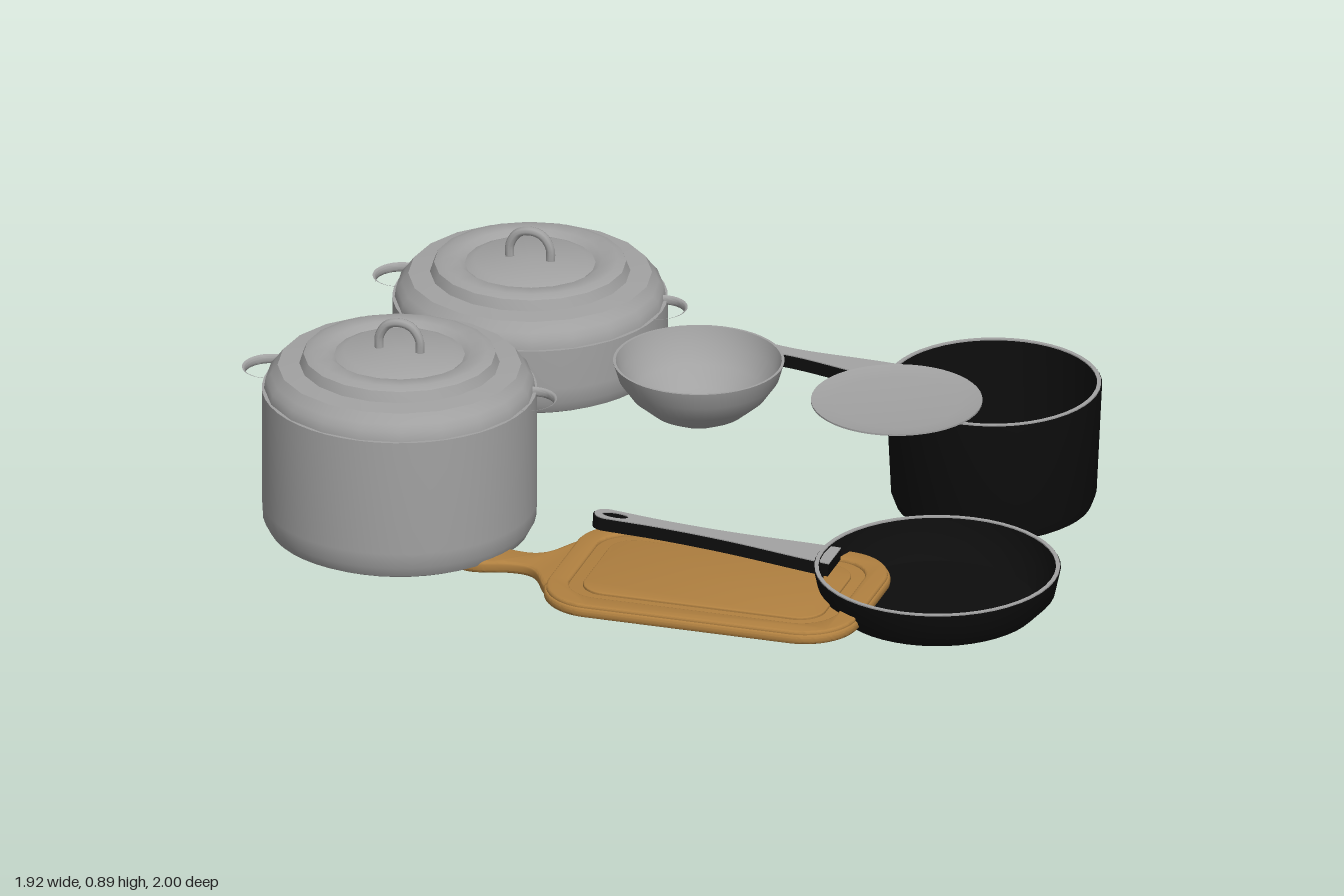
import * as THREE from 'three';
import { toCreasedNormals } from 'three/addons/utils/BufferGeometryUtils.js';

const mat = (name, color) => {
  const m = new THREE.MeshStandardMaterial({ color });
  m.name = name;
  return m;
};

export function createModel() {
  const grey = mat('enamelGrey', 0xa2a2a2);
  const black = mat('ironBlack', 0x0d0d0d);
  const wood = mat('wood', 0xb08040);
  const root = new THREE.Group();
  root.name = 'cookware';

  const group = (name, x, y, z) => {
    const g = new THREE.Group();
    g.name = name;
    g.position.set(x, y, z);
    root.add(g);
    return g;
  };
  const add = (parent, name, geo, material) => {
    const m = new THREE.Mesh(geo, material);
    m.name = name;
    parent.add(m);
    return m;
  };
  // Turned part from [radius, height] pairs, outside upwards
  const turn = (pts, segments = 48, crease = 0.6) => toCreasedNormals(
    new THREE.LatheGeometry(pts.map(p => new THREE.Vector2(...p)), segments), crease);
  // Horizontal slab whose underside is at y = 0
  const slab = (shape, height, bevel = 0) => {
    const g = new THREE.ExtrudeGeometry(shape, {
      depth: height - 2 * bevel, bevelEnabled: bevel > 0, bevelThickness: bevel,
      bevelSize: bevel, bevelOffset: -bevel, bevelSegments: 3, curveSegments: 16,
    });
    g.rotateX(-Math.PI / 2).translate(0, bevel, 0);
    return toCreasedNormals(g, 0.7);
  };
  const ellipse = (x, rx, ry) => new THREE.Path().absellipse(x, 0, rx, ry, 0, Math.PI * 2);

  // Lidded pots with two flat loop handles
  function pot(name, x, y, z, height) {
    const g = group(name, x, y, z);
    add(g, 'body', turn([[0, 0], [0.27, 0], [0.29, 0.01], [0.303, 0.035], [0.305, 0.07],
      [0.305, height], [0, height]]), grey);
    const lid = add(g, 'lid', turn([[0.3, 0], [0.297, 0.022], [0.285, 0.035], [0.27, 0.056],
      [0.222, 0.06], [0.213, 0.083], [0.195, 0.09], [0.16, 0.09], [0.145, 0.08],
      [0.125, 0.088], [0, 0.093]], 20, 0.7), grey);
    lid.position.y = height;
    const arch = new THREE.CatmullRomCurve3([[-0.047, -0.01], [-0.046, 0.03], [-0.028, 0.058],
      [0, 0.066], [0.028, 0.058], [0.046, 0.03], [0.047, -0.01]]
      .map(([a, b]) => new THREE.Vector3(a, b, 0)));
    const knob = add(g, 'lidHandle', new THREE.TubeGeometry(arch, 24, 0.0105, 8), grey);
    knob.position.y = height + 0.09;
    for (const side of [-1, 1]) {
      const loop = new THREE.Shape().absellipse(side * 0.302, 0.108, 0.115, 0, Math.PI * 2);
      loop.holes.push(ellipse(side * 0.3, 0.055, 0.06));
      const h = add(g, side > 0 ? 'leftHandle' : 'rightHandle', slab(loop, 0.022, 0.007), grey);
      h.position.y = height - 0.011;
    }
  }
  pot('tallPot', -0.575, 0.08, 0.12, 0.34);
  pot('lowPot', -0.525, 0.135, -0.695, 0.165);

  // Tapered pan handle with a hanging hole, running towards -x from the origin
  function handleShape(length, inset) {
    const s = new THREE.Shape();
    const e = -length + inset;
    const w = 0.027 - inset;
    s.moveTo(0.03, -0.048 + inset);
    s.bezierCurveTo(-0.1, -0.042 + inset, -0.18, -0.018 + inset, e + 0.13, -0.022 + inset);
    s.lineTo(e + 0.03, -w);
    s.bezierCurveTo(e - 0.01, -w, e - 0.01, w, e + 0.03, w);
    s.lineTo(e + 0.13, 0.022 - inset);
    s.bezierCurveTo(-0.18, 0.018 - inset, -0.1, 0.042 - inset, 0.03, 0.048 - inset);
    s.closePath();
    s.holes.push(ellipse(-length + 0.05, 0.027 + inset, 0.01 + inset));
    return s;
  }
  function pan(name, x, y, z, profile, rim, length, handleY, tilt) {
    const g = group(name, x, y, z);
    add(g, 'body', turn(profile), black);
    const [r, top] = rim;
    add(g, 'rim', turn([[r - 0.002, top], [r - 0.002, top + 0.003], [r - 0.011, top + 0.003],
      [r - 0.011, top]]), grey);
    const handle = new THREE.Group();
    handle.name = 'handle';
    handle.position.set(-r + 0.005, handleY, 0);
    handle.rotation.z = -tilt;
    g.add(handle);
    add(handle, 'grip', slab(handleShape(length, 0), 0.028), black);
    const face = add(handle, 'gripTop', slab(handleShape(length, 0.003), 0.003), grey);
    face.position.y = 0.0275;
  }
  pan('saucepan', 0.59, 0, -0.565, [[0, 0], [0.205, 0], [0.218, 0.008], [0.228, 0.035],
    [0.24, 0.292], [0.228, 0.292], [0.215, 0.035], [0.2, 0.02], [0, 0.02]],
  [0.24, 0.292], 0.39, 0.257, 0.075);
  pan('fryingPan', 0.67, 0.048, 0.115, [[0, 0], [0.2, 0], [0.225, 0.007], [0.262, 0.045],
    [0.274, 0.1], [0.264, 0.1], [0.252, 0.05], [0.218, 0.016], [0, 0.014]],
  [0.274, 0.1], 0.53, 0.066, 0.06);

  // Cutting board: base with handle, raised border and centre leave a groove
  const board = group('cuttingBoard', 0.1975, 0.08, 0.2375);
  const rounded = (Type, hx, hy, r) => {
    const s = new Type();
    s.moveTo(-hx + r, -hy);
    s.lineTo(hx - r, -hy).absarc(hx - r, -hy + r, r, -Math.PI / 2, 0);
    s.lineTo(hx, hy - r).absarc(hx - r, hy - r, r, 0, Math.PI / 2);
    s.lineTo(-hx + r, hy).absarc(-hx + r, hy - r, r, Math.PI / 2, Math.PI);
    s.lineTo(-hx, -hy + r).absarc(-hx + r, -hy + r, r, Math.PI, Math.PI * 1.5);
    return s;
  };
  add(board, 'base', slab(rounded(THREE.Shape, 0.3625, 0.2325, 0.125), 0.022, 0.007), wood);
  const border = rounded(THREE.Shape, 0.357, 0.227, 0.12);
  border.holes.push(rounded(THREE.Path, 0.31, 0.18, 0.085));
  add(board, 'border', slab(border, 0.016, 0.005), wood).position.y = 0.014;
  add(board, 'centre', slab(rounded(THREE.Shape, 0.28, 0.15, 0.06), 0.012, 0.004), wood)
    .position.y = 0.016;
  const grip = new THREE.Shape();
  grip.moveTo(-0.33, -0.15);
  grip.bezierCurveTo(-0.39, -0.13, -0.38, -0.035, -0.45, -0.035);
  grip.bezierCurveTo(-0.5, -0.035, -0.52, -0.055, -0.555, -0.055);
  grip.bezierCurveTo(-0.625, -0.055, -0.625, 0.055, -0.555, 0.055);
  grip.bezierCurveTo(-0.52, 0.055, -0.5, 0.035, -0.45, 0.035);
  grip.bezierCurveTo(-0.38, 0.035, -0.39, 0.13, -0.33, 0.15);
  grip.closePath();
  grip.holes.push(ellipse(-0.555, 0.026, 0.026));
  add(board, 'handle', slab(grip, 0.028, 0.008), wood).position.y = -0.008;

  // Bowl and shallow plate
  const bowl = group('bowl', 0.325, 0.75, 0.785);
  add(bowl, 'bowlShell', turn([[0, 0], [0.06, 0], [0.105, 0.022], [0.15, 0.06], [0.178, 0.1],
    [0.19, 0.14], [0.184, 0.14], [0.171, 0.1], [0.143, 0.064], [0.1, 0.028], [0.055, 0.008],
    [0, 0.007]]), grey);
  const plate = group('plate', 0.79, 0.82, 0.805);
  add(plate, 'plateShell', turn([[0, 0], [0.04, 0], [0.07, 0.008], [0.13, 0.026], [0.19, 0.041],
    [0.19, 0.045], [0.17, 0.041], [0.14, 0.038], [0, 0.036]]), grey);

  return root;
}
